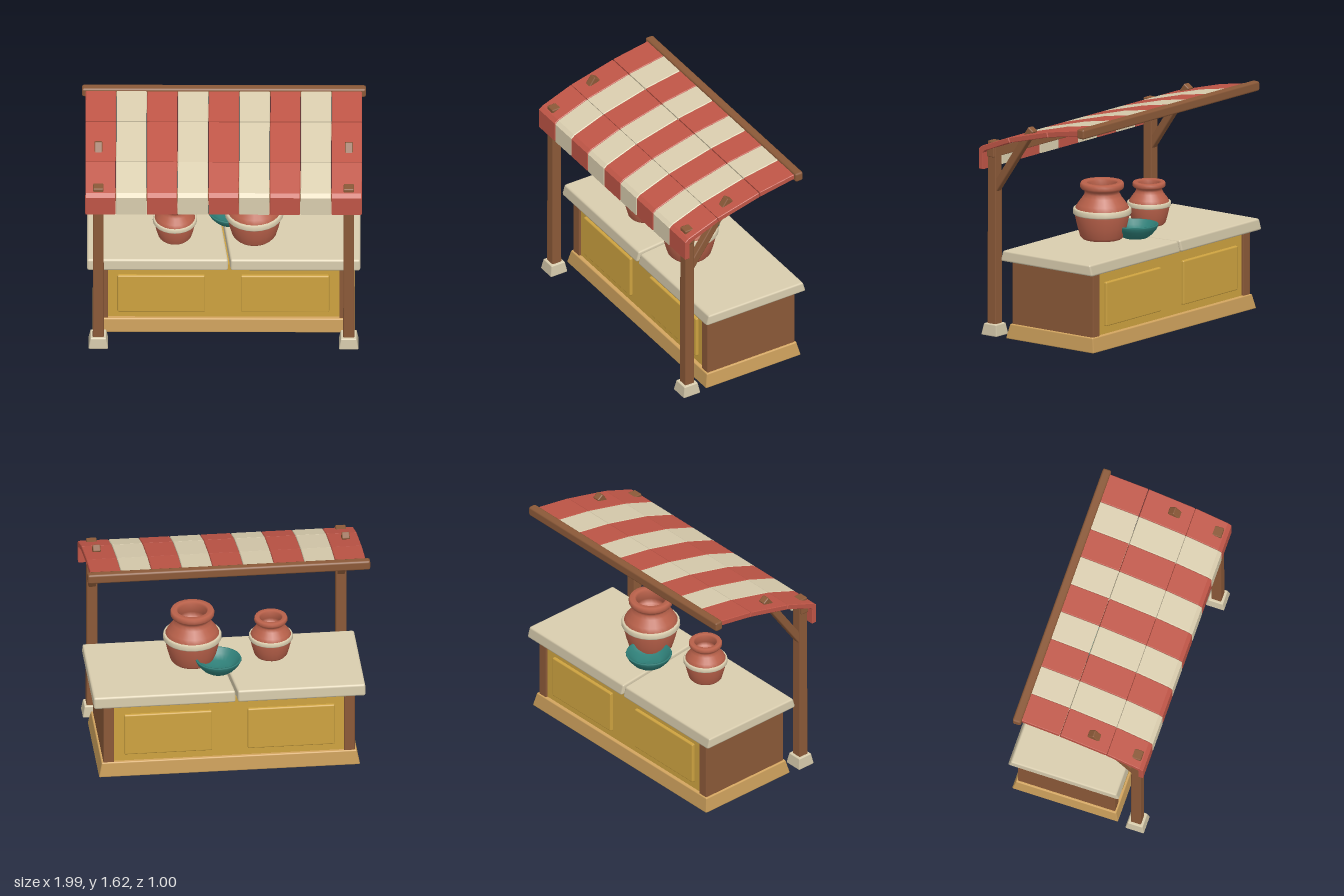
import * as THREE from 'three';
import { RoundedBoxGeometry } from 'three/addons/geometries/RoundedBoxGeometry.js';

const mat = (name, color, side = THREE.FrontSide) => {
  const m = new THREE.MeshStandardMaterial({ color, side });
  m.name = name;
  return m;
};

export function createModel() {
  const wood = mat('brown wood', 0x8b5938);
  const cream = mat('cream', 0xd9cdae);
  const red = mat('red cloth', 0xbf5546);
  const yellow = mat('mustard panel', 0xcea340);
  const tan = mat('tan plinth', 0xd3a55f);
  const clay = mat('terracotta', 0xb9614a, THREE.DoubleSide);
  const teal = mat('teal glaze', 0x2f7f78, THREE.DoubleSide);

  const model = new THREE.Group();
  model.name = 'marketStall';

  const add = (name, geo, material, parent = model) => {
    const mesh = new THREE.Mesh(geo, material);
    mesh.name = name;
    parent.add(mesh);
    return mesh;
  };

  // Softened box between two corners; the top is pulled in by `inset`.
  const block = (x0, x1, y0, y1, z0, z1, inset = 0, r = 0.008) => {
    const w = x1 - x0, h = y1 - y0, d = z1 - z0;
    const g = new RoundedBoxGeometry(w, h, d, 1, r);
    const p = g.attributes.position;
    for (let i = 0; i < p.count; i++) {
      const t = p.getY(i) / h + 0.5;
      p.setX(i, p.getX(i) * (1 - (2 * inset * t) / w));
      p.setZ(i, p.getZ(i) * (1 - (2 * inset * t) / d));
    }
    return g.translate((x0 + x1) / 2, (y0 + y1) / 2, (z0 + z1) / 2);
  };

  // Counter body
  add('plinth', block(-0.92, 0.92, 0, 0.105, -0.485, 0.3, 0.022), tan);
  for (const s of [-1, 1]) {
    const xa = s < 0 ? -0.885 : 0.81, xb = s < 0 ? -0.81 : 0.885;
    add('endPanel', block(xa, xb, 0.095, 0.57, -0.455, 0.267, 0, 0.006), wood);
  }
  add('counterBody', new THREE.BoxGeometry(1.64, 0.47, 0.69).translate(0, 0.33, -0.094), yellow);
  for (const [x0, x1] of [[-0.745, -0.13], [0.12, 0.74]]) {
    add('frontPanel', block(x0, x1, 0.16, 0.477, 0.22, 0.272, 0, 0.01), yellow);
    add('backPanel', block(x0, x1, 0.16, 0.477, -0.461, -0.41, 0, 0.01), yellow);
  }

  // Two counter slabs meeting at a slanted joint
  for (const s of [-1, 1]) {
    const outer = 0.957, inner = s * 0.008 - 0.005;
    const g = s < 0 ? block(-outer, inner, 0.56, 0.64, -0.505, 0.32, 0, 0.014)
      : block(inner, outer, 0.56, 0.64, -0.505, 0.32, 0, 0.014);
    const p = g.attributes.position;
    for (let i = 0; i < p.count; i++) {
      const t = (outer - Math.abs(p.getX(i))) / outer;
      const up = (p.getY(i) - 0.56) / 0.08;
      const z = p.getZ(i) + 0.0925;
      p.setX(i, p.getX(i) + 0.1125 * z * t);
      p.setZ(i, z * (1 - 0.055 * up) - 0.0925);
    }
    add('counterSlab', g, cream);
  }

  // Posts, feet and braces
  for (const s of [-1, 1]) {
    const side = new THREE.Group();
    side.name = s < 0 ? 'rightSupport' : 'leftSupport';
    model.add(side);
    const c = s * 0.877;
    add('foot', block(c - 0.07, c + 0.07, 0.004, 0.088, 0.36, 0.5, 0.015), cream, side);
    add('post', block(c - 0.039, c + 0.039, 0, 1.398, 0.392, 0.468, 0.002), wood, side);
    const a = new THREE.Vector3(c, 1.05, 0.42), b = new THREE.Vector3(c, 1.527, 0.088);
    const brace = add('brace', new RoundedBoxGeometry(0.056, a.distanceTo(b), 0.056, 1, 0.008), wood, side);
    brace.position.copy(a).add(b).multiplyScalar(0.5);
    brace.rotation.x = Math.atan2(b.z - a.z, b.y - a.y);
  }
  add('frontBeam', block(-0.93, 0.93, 1.285, 1.36, 0.398, 0.462), wood);
  add('ridgeBeam', block(-0.995, 0.995, 1.545, 1.615, -0.457, -0.395, 0, 0.014), wood);

  // Awning: nine stripes, each in three pieces given as (z, y) outlines
  const pieces = {
    awningFront: [[0.469, 1.204], [0.497, 1.204], [0.497, 1.345], [0.472, 1.366],
      [0.24, 1.455], [0.23, 1.427], [0.452, 1.338], [0.469, 1.322]],
    awningMiddle: [[0.229, 1.458], [-0.104, 1.543], [-0.112, 1.513], [0.221, 1.428]],
    awningBack: [[-0.118, 1.547], [-0.42, 1.598], [-0.425, 1.567], [-0.124, 1.515]],
  };
  const stripe = 0.2155, bevel = 0.004;
  for (const [name, pts] of Object.entries(pieces)) {
    const shape = new THREE.Shape(pts.map(([z, y]) => new THREE.Vector2(z, y)));
    const depth = stripe - 2 * bevel - 0.003;
    const geo = new THREE.ExtrudeGeometry(shape, {
      depth, bevelEnabled: true, bevelSegments: 1, bevelSize: bevel, bevelThickness: bevel,
    });
    geo.translate(0, 0, -depth / 2).rotateY(-Math.PI / 2);
    for (let i = 0; i < 9; i++) {
      add(name, geo, i % 2 ? cream : red).position.x = (i - 4) * stripe;
    }
  }

  // Turned vessels, profiles as (radius, height)
  const lathe = (pts, n = 24) => new THREE.LatheGeometry(pts.map(([r, y]) => new THREE.Vector2(r, y)), n);
  const jarProfile = [[0, 0], [0.138, 0], [0.155, 0.02], [0.175, 0.09], [0.192, 0.165], [0.192, 0.215],
    [0.172, 0.25], [0.135, 0.3], [0.122, 0.325], [0.125, 0.345], [0.148, 0.358], [0.155, 0.37],
    [0.155, 0.39], [0.147, 0.405], [0.112, 0.405], [0.1, 0.39], [0.098, 0.33], [0.13, 0.27], [0, 0.24]];
  const bandProfile = [[0.185, 0.178], [0.202, 0.178], [0.207, 0.186], [0.205, 0.212], [0.199, 0.221], [0.178, 0.221]];
  for (const [name, x, z, s] of [['largeJar', 0.213, -0.003, 1], ['smallJar', -0.342, 0.018, 0.753]]) {
    const jar = new THREE.Group();
    jar.name = name;
    jar.position.set(x, 0.639, z);
    jar.scale.setScalar(s);
    model.add(jar);
    add('jarBody', lathe(jarProfile), clay, jar);
    add('jarBand', lathe(bandProfile), cream, jar);
  }
  const bowl = add('bowl', lathe([[0, 0], [0.085, 0], [0.115, 0.022], [0.148, 0.06], [0.163, 0.09],
    [0.16, 0.097], [0.148, 0.097], [0.125, 0.062], [0.08, 0.032], [0, 0.025]]), teal);
  bowl.position.set(0.046, 0.639, -0.168);

  return model;
}
